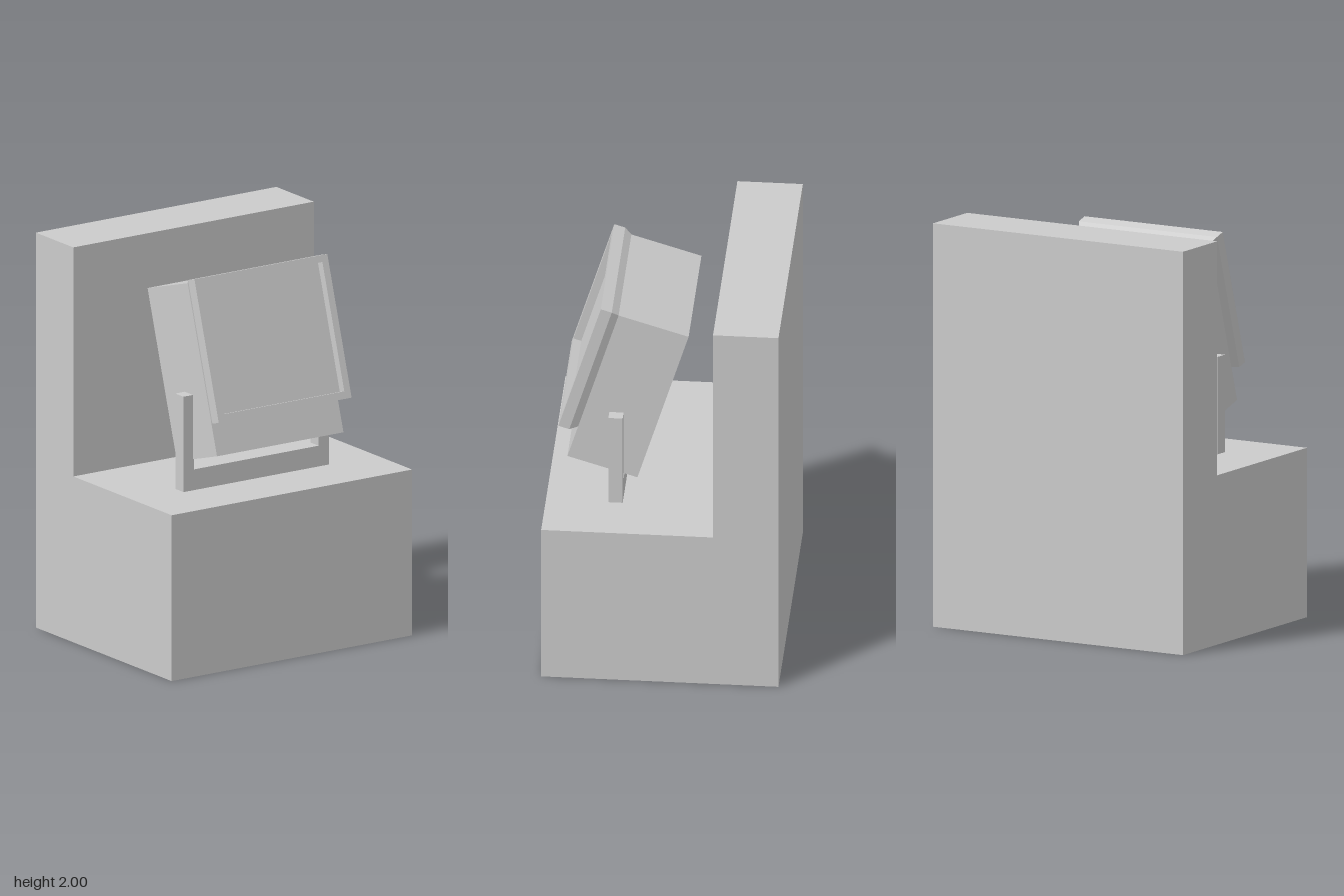
import * as THREE from 'three';

const material = new THREE.MeshStandardMaterial({ color: 0xcccccc, flatShading: true });

function add(parent, name, geometry) {
  const mesh = new THREE.Mesh(geometry, material);
  mesh.name = name;
  parent.add(mesh);
  return mesh;
}

// Box given by its minimum and maximum corners
function box(parent, name, [x0, y0, z0], [x1, y1, z1]) {
  const geometry = new THREE.BoxGeometry(x1 - x0, y1 - y0, z1 - z0);
  geometry.translate((x0 + x1) / 2, (y0 + y1) / 2, (z0 + z1) / 2);
  return add(parent, name, geometry);
}

// Extrude a profile symmetrically about its middle
function slab(points, depth) {
  const shape = new THREE.Shape(points.map(([x, y]) => new THREE.Vector2(x, y)));
  return new THREE.ExtrudeGeometry(shape, { depth, bevelEnabled: false }).translate(0, 0, -depth / 2);
}

// Join rectangular rings [halfWidth, bottom, top, z] and cap the last one
function loftRectangles(rings) {
  const corners = rings.map(([w, b, t, z]) => [[-w, b, z], [w, b, z], [w, t, z], [-w, t, z]]);
  const positions = [];
  const quad = (a, b, c, d) => positions.push(...a, ...b, ...c, ...a, ...c, ...d);
  for (let r = 0; r < corners.length - 1; r++) {
    for (let i = 0; i < 4; i++) {
      const j = (i + 1) % 4;
      quad(corners[r][i], corners[r][j], corners[r + 1][j], corners[r + 1][i]);
    }
  }
  quad(...corners[corners.length - 1]);
  const geometry = new THREE.BufferGeometry();
  geometry.setAttribute('position', new THREE.Float32BufferAttribute(positions, 3));
  geometry.computeVertexNormals();
  return geometry;
}

export function createModel() {
  const model = new THREE.Group();
  model.name = 'monitorOnStand';

  // L-shaped pedestal: a block with a tall back wall
  const pedestal = slab([
    [-0.58, 0], [0.58, 0], [0.58, 0.84], [-0.26, 0.84], [-0.26, 2], [-0.58, 2],
  ], 1.426);
  pedestal.rotateY(-Math.PI / 2);
  add(model, 'pedestal', pedestal);

  // U-shaped bracket that carries the monitor
  const bracket = slab([
    [-0.431, 0.84], [0.431, 0.84], [0.431, 1.323], [0.37, 1.323],
    [0.37, 0.945], [-0.37, 0.945], [-0.37, 1.323], [-0.431, 1.323],
  ], 0.07);
  add(model, 'bracket', bracket).position.z = 0.24;

  // Monitor tilted back; its origin is the lower front edge of the housing
  const monitor = new THREE.Group();
  monitor.name = 'monitor';
  monitor.position.set(0, 1.06, 0.48);
  monitor.rotation.x = THREE.MathUtils.degToRad(-17);
  model.add(monitor);

  box(monitor, 'housing', [-0.375, 0, -0.358], [0.375, 0.856, 0]);

  // Flared bezel with the screen set into it
  add(monitor, 'screenBezel', loftRectangles([
    [0.375, 0.18, 0.856, 0],
    [0.394, 0.162, 0.872, 0.038],
    [0.394, 0.162, 0.872, 0.094],
    [0.358, 0.199, 0.838, 0.094],
    [0.358, 0.199, 0.838, 0.054],
  ]));

  return model;
}
